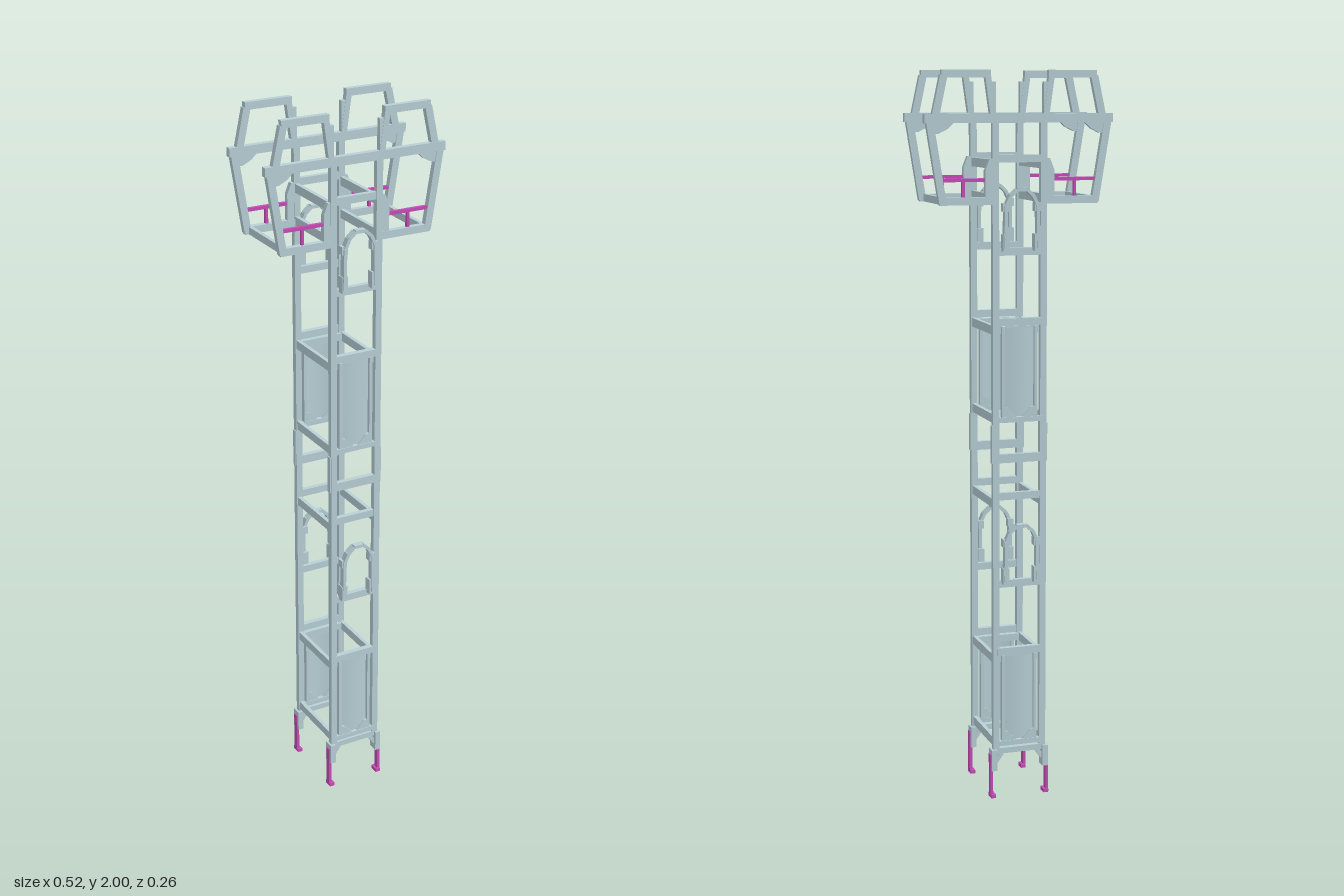
import * as THREE from 'three';

const steel = new THREE.MeshStandardMaterial({ color: 0xb8d0d6, flatShading: true });
const sheet = new THREE.MeshStandardMaterial({ color: 0xb8d0d6, side: THREE.DoubleSide });
const pink = new THREE.MeshStandardMaterial({ color: 0xc84cb8, flatShading: true });

function box(parent, name, x, y, z, w, h, d, mat = steel) {
  const m = new THREE.Mesh(new THREE.BoxGeometry(w, h, d), mat);
  m.position.set(x, y, z);
  m.name = name;
  parent.add(m);
  return m;
}

// straight bar between two points of the xy plane
function bar(parent, name, x1, y1, x2, y2, z, thick, depth) {
  const m = box(parent, name, (x1 + x2) / 2, (y1 + y2) / 2, z, Math.hypot(x2 - x1, y2 - y1), thick, depth);
  m.rotation.z = Math.atan2(y2 - y1, x2 - x1);
}

// flat plate cut from an outline, mirrored by s and centred on z
function plate(parent, name, s, pts, z, depth) {
  const shape = new THREE.Shape(pts.map(p => new THREE.Vector2(s * p[0], p[1])));
  const geo = new THREE.ExtrudeGeometry(shape, { depth, bevelEnabled: false });
  geo.translate(0, 0, z - depth / 2);
  const m = new THREE.Mesh(geo, steel);
  m.name = name;
  parent.add(m);
}

// hooped arch standing proud of the face
function addArch(parent, y) {
  const g = new THREE.Group();
  g.name = 'arch';
  const pts = [[-0.046, 0], [-0.044, 0.112], [-0.032, 0.138], [-0.014, 0.154],
    [0.014, 0.154], [0.032, 0.138], [0.044, 0.112], [0.046, 0]];
  for (let i = 0; i < pts.length - 1; i++)
    bar(g, 'archSegment', ...pts[i], ...pts[i + 1], 0.121, 0.009, 0.018);
  for (const s of [-1, 1]) {
    box(g, 'archFoot', s * 0.044, 0.015, 0.116, 0.017, 0.045, 0.022);
    box(g, 'archClip', s * 0.044, 0.108, 0.116, 0.017, 0.022, 0.02);
  }
  g.position.y = y + 0.01;
  parent.add(g);
  box(parent, 'archSill', 0, y, 0.102, 0.12, 0.02, 0.015);
}

// framed panel with a gently bowed sheet
function addPanel(parent, y) {
  const g = new THREE.Group();
  g.name = 'framedPanel';
  box(g, 'topRail', 0, 0.272, 0.102, 0.13, 0.02, 0.016);
  box(g, 'innerTopRail', 0, 0.25, 0.091, 0.13, 0.02, 0.014);
  box(g, 'bottomRail', 0, 0.006, 0.102, 0.13, 0.014, 0.016);
  const geo = new THREE.PlaneGeometry(0.092, 0.24, 8, 1);
  const pos = geo.attributes.position;
  for (let i = 0; i < pos.count; i++)
    pos.setZ(i, 0.005 * Math.cos(pos.getX(i) * 34));
  geo.computeVertexNormals();
  const panel = new THREE.Mesh(geo, sheet);
  panel.name = 'panelSheet';
  panel.position.set(0, 0.135, 0.098);
  g.add(panel);
  for (const s of [-1, 1]) {
    box(g, 'panelStile', s * 0.046, 0.135, 0.101, 0.009, 0.25, 0.014);
    plate(g, 'panelGusset', s, [[0.005, 0.01], [0.045, 0.01], [0.045, 0.042], [0.032, 0.038]], 0.102, 0.012);
  }
  g.position.y = y;
  parent.add(g);
}

// upper cage on one side of a face
function addCage(parent, s) {
  const g = new THREE.Group();
  g.name = 'sideCage';
  const z = 0.101, d = 0.016;
  bar(g, 'lowerSlant', s * 0.246, 1.865, s * 0.212, 1.655, z, 0.02, d);
  bar(g, 'bottomBeam', s * 0.075, 1.66, s * 0.22, 1.66, z, 0.02, d);
  bar(g, 'upperSlant', s * 0.231, 1.88, s * 0.208, 1.985, z, 0.02, d);
  bar(g, 'topBeam', s * 0.08, 1.99, s * 0.214, 1.99, z, 0.02, d);
  bar(g, 'innerSlant', s * 0.073, 1.88, s * 0.088, 1.985, z, 0.016, d);
  plate(g, 'outerGusset', s, [[0.25, 1.865], [0.18, 1.865], [0.198, 1.848], [0.222, 1.836], [0.243, 1.836]], z, 0.012);
  plate(g, 'innerGusset', s, [[0.06, 1.77], [0.084, 1.77], [0.096, 1.74], [0.096, 1.655], [0.075, 1.655]], z, 0.014);
  box(g, 'handRail', s * 0.153, 1.715, z, 0.118, 0.009, 0.01, pink);
  box(g, 'handRailPost', s * 0.155, 1.69, z, 0.008, 0.045, 0.008, pink);
  parent.add(g);
}

// one complete face, looking along +z
function makeFace() {
  const f = new THREE.Group();
  f.name = 'towerFace';
  for (const s of [-1, 1]) {
    box(f, 'post', s * 0.067, 1.01, 0.101, 0.018, 1.75, 0.016);
    box(f, 'postTip', s * 0.073, 1.925, 0.101, 0.014, 0.09, 0.014);
    box(f, 'jointSleeve', s * 0.07, 1.005, 0.101, 0.018, 0.105, 0.014);
    // foot clamp and leg
    box(f, 'footClamp', s * 0.074, 0.11, 0.101, 0.016, 0.06, 0.03);
    bar(f, 'footBrace', s * 0.068, 0.105, s * 0.045, 0.138, 0.101, 0.012, 0.016);
    box(f, 'leg', s * 0.081, 0.066, 0.101, 0.008, 0.12, 0.016, pink);
    box(f, 'footPad', s * 0.077, 0.005, 0.101, 0.014, 0.01, 0.027, pink);
    addCage(f, s);
  }
  box(f, 'baseRail', 0, 0.135, 0.101, 0.13, 0.016, 0.016);
  box(f, 'crossRail', 0, 0.86, 0.101, 0.13, 0.02, 0.014);
  box(f, 'jointBand', 0, 0.965, 0.101, 0.15, 0.024, 0.015);
  box(f, 'headRail', 0, 1.77, 0.101, 0.13, 0.02, 0.014);
  box(f, 'longBeam', 0, 1.875, 0.101, 0.522, 0.024, 0.017);
  for (const y of [0.615, 1.525]) addArch(f, y);
  for (const y of [0.15, 1.065]) addPanel(f, y);
  return f;
}

export function createModel() {
  const model = new THREE.Group();
  model.name = 'latticeTower';
  const front = makeFace();
  const back = makeFace();
  back.rotation.y = Math.PI;
  model.add(front, back);
  // rungs joining the two faces
  for (const s of [-1, 1]) {
    for (const y of [0.16, 0.4, 0.84, 1.075, 1.315, 1.665, 1.755])
      box(model, 'sideRung', s * 0.068, y, 0, 0.011, 0.024, 0.19);
    box(model, 'cageRung', s * 0.204, 1.66, 0, 0.011, 0.02, 0.19);
  }
  return model;
}
